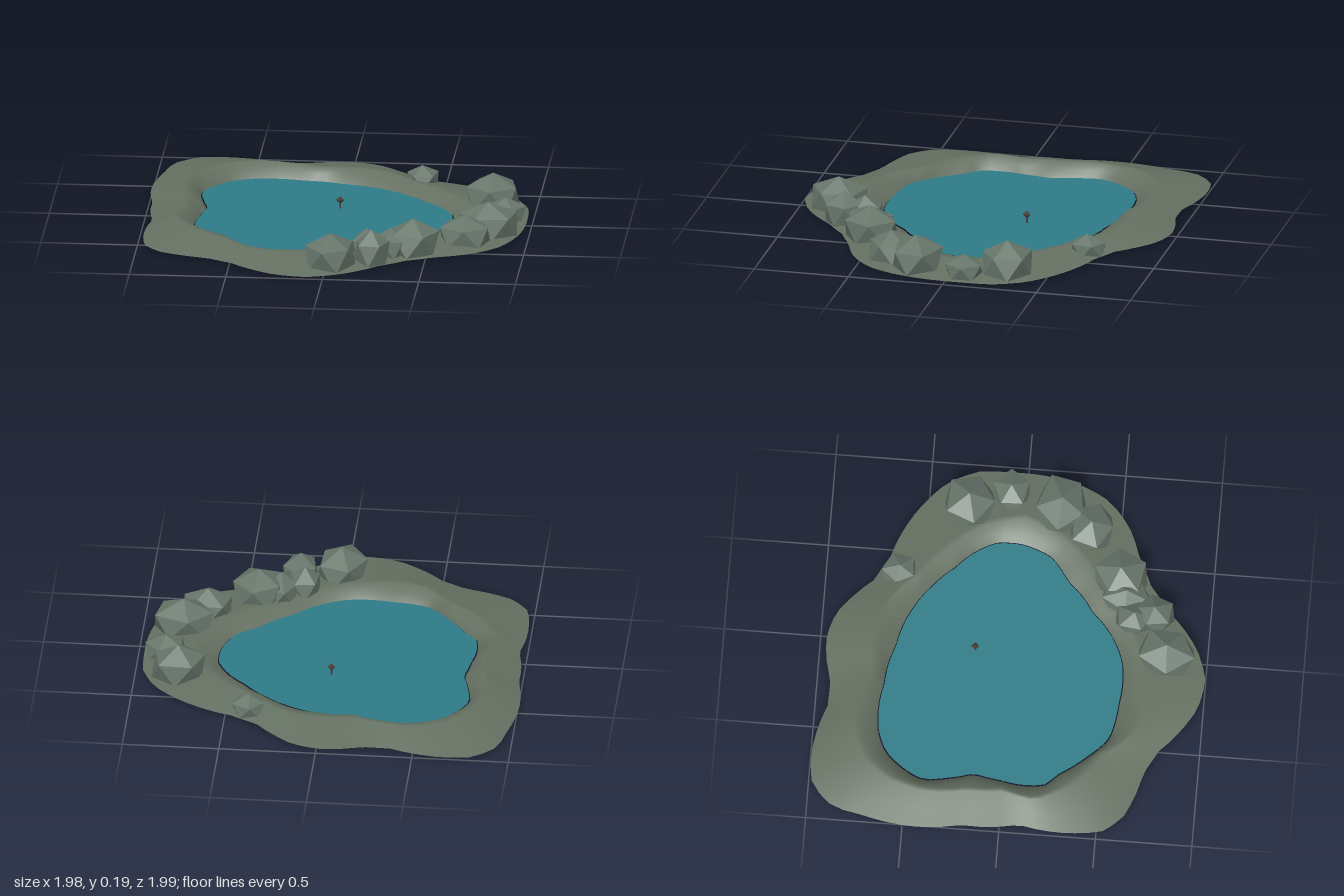
import * as THREE from 'three';

const CX = -0.08, CZ = -0.05, SEG = 96;

// Outlines seen from above, as x, z pairs
const SHORE = [
  -0.67, -1, -0.37, -0.93, -0.24, -0.93, -0.13, -0.96, 0, -0.97, 0.13, -0.93, 0.24, -0.84, 0.33, -0.745,
  0.46, -0.675, 0.61, -0.62, 0.76, -0.53, 0.89, -0.41, 0.96, -0.26, 0.97, -0.08, 0.955, 0.16, 0.91, 0.32,
  0.85, 0.43, 0.72, 0.54, 0.54, 0.61, 0.4, 0.68, 0.27, 0.78, 0.08, 0.94, -0.09, 1, -0.25, 0.97, -0.38, 0.89,
  -0.5, 0.785, -0.62, 0.72, -0.755, 0.685, -0.88, 0.63, -0.96, 0.53, -0.98, 0.385, -0.955, 0.1, -0.98, -0.2,
  -0.965, -0.71, -0.93, -0.87, -0.82, -0.98];
const CREST = [
  -0.465, -0.775, -0.34, -0.755, -0.155, -0.695, 0.135, -0.69, 0.24, -0.635, 0.35, -0.52, 0.52, -0.37,
  0.64, -0.22, 0.71, 0, 0.6, 0.22, 0.35, 0.42, 0.08, 0.61, -0.13, 0.665, -0.29, 0.68, -0.42, 0.64,
  -0.55, 0.48, -0.71, 0.35, -0.82, 0.17, -0.78, 0, -0.79, -0.18, -0.81, -0.395, -0.755, -0.58, -0.65, -0.7];
const WATER = [
  -0.5, -0.665, -0.61, -0.62, -0.71, -0.5, -0.75, -0.41, -0.73, -0.29, -0.695, -0.155, -0.72, -0.02,
  -0.74, 0.11, -0.73, 0.215, -0.66, 0.29, -0.565, 0.415, -0.45, 0.53, -0.26, 0.565, -0.02, 0.565,
  0.11, 0.505, 0.24, 0.39, 0.4, 0.25, 0.53, 0.15, 0.585, 0, 0.585, -0.13, 0.53, -0.235, 0.43, -0.34,
  0.32, -0.45, 0.19, -0.54, -0.02, -0.61, -0.235, -0.655, -0.39, -0.675];

// Turns an outline into radii at even angles about the pond centre
function radii(outline) {
  const polar = [];
  for (let i = 0; i < outline.length; i += 2) {
    const x = outline[i] - CX, z = outline[i + 1] - CZ;
    polar.push([Math.atan2(z, x), Math.hypot(x, z)]);
  }
  polar.sort((a, b) => a[0] - b[0]);
  const first = polar[0], last = polar[polar.length - 1];
  polar.unshift([last[0] - 2 * Math.PI, last[1]]);
  polar.push([first[0] + 2 * Math.PI, first[1]]);
  return Array.from({ length: SEG }, (_, i) => {
    const angle = -Math.PI + (i / SEG) * 2 * Math.PI;
    const k = Math.max(1, polar.findIndex(p => p[0] > angle));
    const [a, b] = [polar[k - 1], polar[k]];
    return THREE.MathUtils.lerp(a[1], b[1], (angle - a[0]) / (b[0] - a[0]));
  });
}

// Surface through closed rings, each ring a function (i, angle) -> [radius, height]
function ringSurface(rings) {
  const pos = [], idx = [];
  rings.forEach((ring, r) => {
    for (let i = 0; i < SEG; i++) {
      const angle = -Math.PI + (i / SEG) * 2 * Math.PI;
      const [rad, y] = ring(i, angle);
      pos.push(CX + rad * Math.cos(angle), y, CZ + rad * Math.sin(angle));
      if (r === 0) continue;
      const n = (i + 1) % SEG, o = (r - 1) * SEG, q = r * SEG;
      idx.push(o + i, q + i, o + n, o + n, q + i, q + n);
    }
  });
  const g = new THREE.BufferGeometry();
  g.setAttribute('position', new THREE.Float32BufferAttribute(pos, 3));
  g.setIndex(idx);
  g.computeVertexNormals();
  return g;
}

// Faceted boulder: a vertex-up icosahedron, slightly uneven, with a flat base
function boulderGeometry(rx, ry, rz, cy, seed) {
  const g = new THREE.IcosahedronGeometry(1, 0);
  g.rotateZ(-Math.atan(2 / (1 + Math.sqrt(5))));
  g.rotateY(seed * 1.7);
  const p = g.attributes.position;
  for (let i = 0; i < p.count; i++) {
    const x = p.getX(i), y = p.getY(i), z = p.getZ(i);
    const k = 1 + 0.07 * Math.sin(5 * x + 3 * z + 4 * y + seed * 2.3);
    p.setXYZ(i, x * rx * k, Math.max(0.01, cy + y * ry), z * rz * k);
  }
  g.computeVertexNormals();
  return g;
}

export function createModel() {
  const group = new THREE.Group();
  group.name = 'pond';
  const mat = (name, color, extra = {}) => {
    const m = new THREE.MeshStandardMaterial({ color, ...extra });
    m.name = name;
    return m;
  };
  const earth = mat('mossy earth', 0x647061, { side: THREE.DoubleSide });
  const stone = mat('grey green stone', 0x66756a, { flatShading: true });
  const blue = mat('teal water', 0x2d7b87, { side: THREE.DoubleSide });
  const brown = mat('dark brown', 0x4a3f38, { flatShading: true });
  const add = (name, geometry, material, x = 0, y = 0, z = 0) => {
    const m = new THREE.Mesh(geometry, material);
    m.name = name;
    m.position.set(x, y, z);
    group.add(m);
    return m;
  };

  // Bank: rises from the outer edge to a crest, then drops to the water
  const shore = radii(SHORE), crest = radii(CREST), water = radii(WATER);
  const top = a => 0.058 - 0.01 * Math.cos(a) - 0.006 * Math.sin(a);
  const mix = THREE.MathUtils.lerp;
  add('bank', ringSurface([
    i => [shore[i], 0.01],
    (i, a) => [mix(shore[i], crest[i], 0.5), mix(0.01, top(a), 0.52)],
    (i, a) => [mix(shore[i], crest[i], 0.9), top(a) * 0.96],
    (i, a) => [crest[i], top(a)],
    (i, a) => [mix(crest[i], water[i], 0.6), top(a) * 0.55],
    i => [water[i], 0],
  ]), earth);

  // Water sheet
  add('water', ringSurface([i => [water[i] * 0.992, 0.005], () => [0, 0.005]]), blue);

  // Boulders: x, z, half width, half depth, top height
  const boulders = [
    [0.38, -0.62, 0.095, 0.1, 0.115], [0.775, -0.29, 0.155, 0.14, 0.19],
    [0.86, -0.08, 0.115, 0.105, 0.125], [0.79, 0.19, 0.175, 0.145, 0.185],
    [0.68, 0.35, 0.15, 0.125, 0.16], [0.43, 0.52, 0.145, 0.145, 0.19],
    [0.32, 0.56, 0.1, 0.14, 0.15], [0.2, 0.61, 0.095, 0.11, 0.16],
    [0.23, 0.71, 0.1, 0.11, 0.185], [0.025, 0.79, 0.14, 0.16, 0.185]];
  boulders.forEach(([x, z, rx, rz, h], i) => {
    const ry = h * 0.66;
    add('boulder' + (i + 1), boulderGeometry(rx, ry, rz, h - ry, i + 1), stone, x, 0, z);
  });

  // Small float standing in the water
  add('floatStem', new THREE.CylinderGeometry(0.005, 0.005, 0.04, 6), brown, -0.01, 0.022, -0.2);
  add('floatHead', new THREE.OctahedronGeometry(0.021), brown, -0.01, 0.05, -0.2);
  return group;
}
